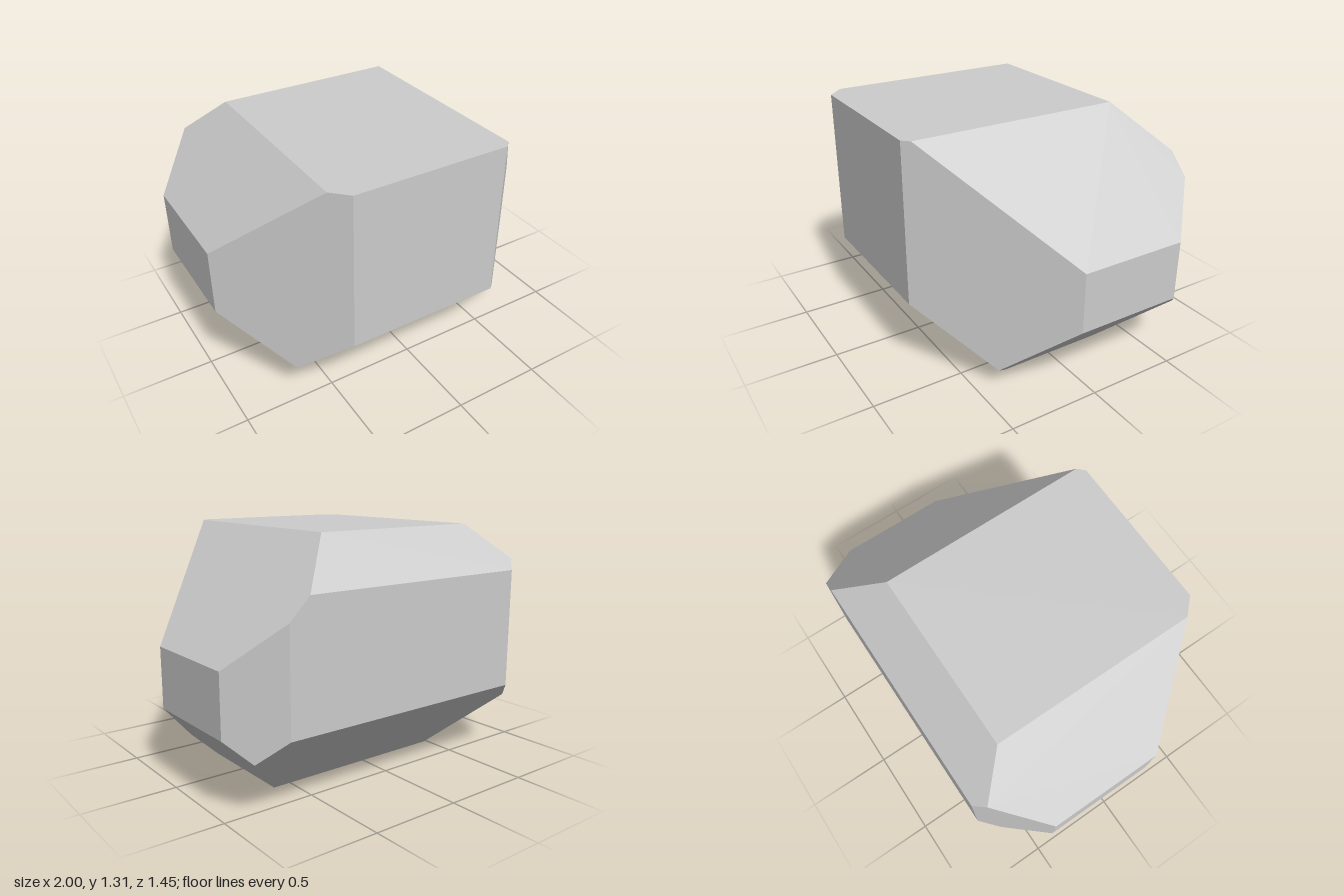
import * as THREE from 'three';

// Cutting planes of the faceted block: outward direction (x, y, z) and limit of p . direction
const PLANES = [
  // flat sides
  [1, 0, 0, 1], [-1, 0, 0, 1],
  [0, 1, 0, 1.31], [0, -1, 0, 0],
  [0, 0, 1, 0.723], [0, 0, -1, 0.723],
  // bevels along z
  [1, 1, 0, 1.728], [-1, 1, 0, 1.881], [1, -1, 0, 0.6], [-1, -1, 0, 0.48],
  // bevels along x (the upper front edge stays square)
  [0, 1, -1, 1.789], [0, -1, 1, 0.284], [0, -1, -1, 0.311],
  // upright bevels
  [1, 0, 1, 1.104], [1, 0, -1, 1.496], [-1, 0, 1, 1.21], [-1, 0, -1, 1.425],
].map(([x, y, z, d]) => ({ n: new THREE.Vector3(x, y, z), d }));

// Point shared by three planes, or null if they do not meet in one point
function meet(a, b, c) {
  const bc = b.n.clone().cross(c.n);
  const det = a.n.dot(bc);
  if (Math.abs(det) < 1e-6) return null;
  return bc.multiplyScalar(a.d)
    .addScaledVector(c.n.clone().cross(a.n), b.d)
    .addScaledVector(a.n.clone().cross(b.n), c.d)
    .divideScalar(det);
}

// Corners of the block: plane meetings that lie inside every limit
function findCorners() {
  const corners = [];
  for (let i = 0; i < PLANES.length; i++)
    for (let j = i + 1; j < PLANES.length; j++)
      for (let k = j + 1; k < PLANES.length; k++) {
        const p = meet(PLANES[i], PLANES[j], PLANES[k]);
        if (!p || PLANES.some(({ n, d }) => n.dot(p) > d + 1e-6)) continue;
        if (!corners.some((q) => q.distanceTo(p) < 1e-5)) corners.push(p);
      }
  return corners;
}

// One polygon per plane, its corners ordered anticlockwise about the outward normal
function facetedBlock() {
  const corners = findCorners();
  const positions = [];
  for (const { n, d } of PLANES) {
    const face = corners.filter((p) => Math.abs(n.dot(p) - d) < 1e-5);
    if (face.length < 3) continue;
    const centre = face.reduce((s, p) => s.add(p), new THREE.Vector3()).divideScalar(face.length);
    const u = face[0].clone().sub(centre).normalize();
    const v = n.clone().normalize().cross(u);
    const angle = (p) => {
      const r = p.clone().sub(centre);
      return Math.atan2(r.dot(v), r.dot(u));
    };
    face.sort((a, b) => angle(a) - angle(b));
    for (let i = 1; i < face.length - 1; i++)
      for (const p of [face[0], face[i], face[i + 1]]) positions.push(p.x, p.y, p.z);
  }
  const geometry = new THREE.BufferGeometry();
  geometry.setAttribute('position', new THREE.Float32BufferAttribute(positions, 3));
  geometry.computeVertexNormals();
  return geometry;
}

export function createModel() {
  const group = new THREE.Group();
  group.name = 'facetedRock';
  const block = new THREE.Mesh(
    facetedBlock(),
    new THREE.MeshStandardMaterial({ color: 0xcccccc, flatShading: true })
  );
  block.name = 'bevelledBlock';
  group.add(block);
  return group;
}
